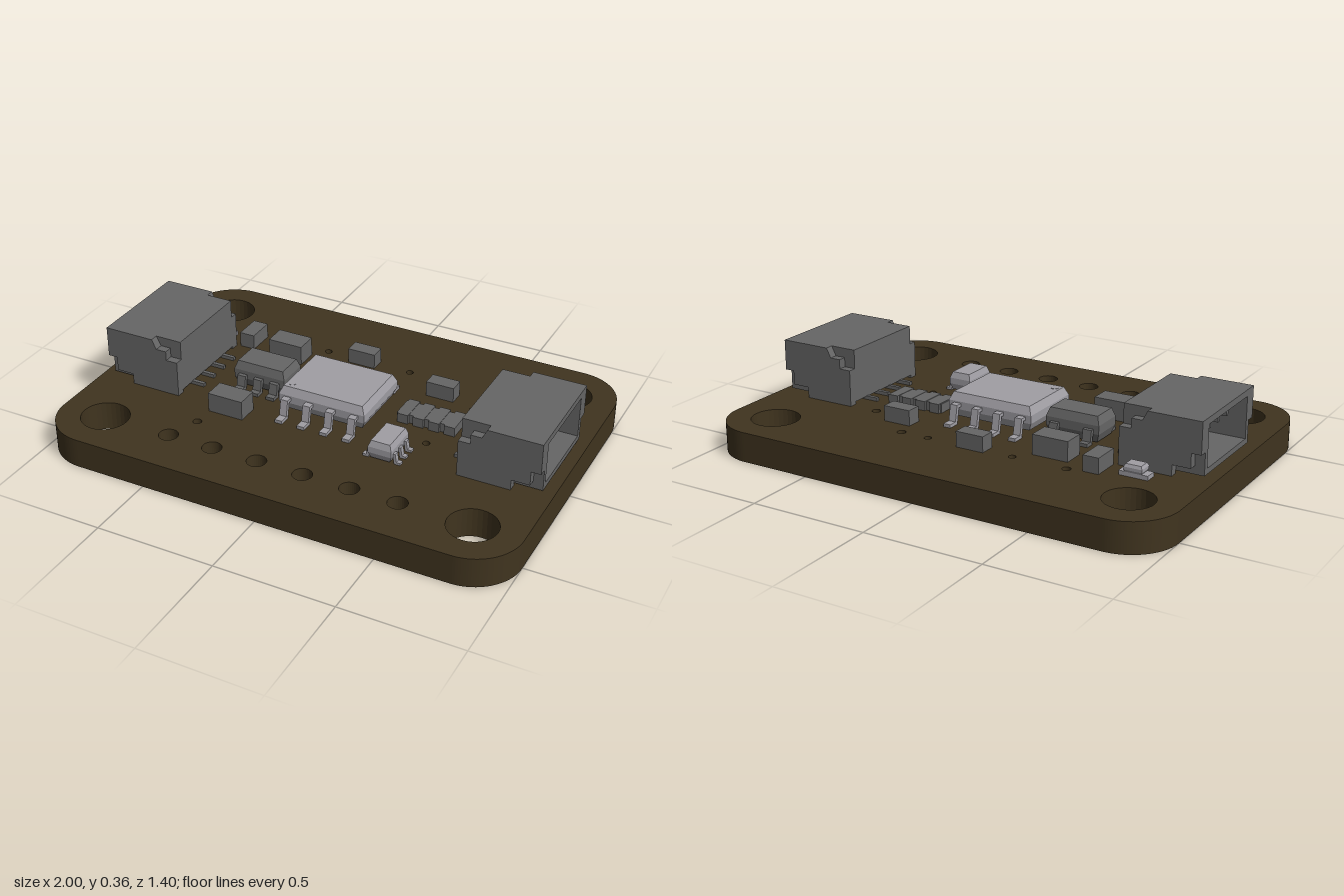
import * as THREE from 'three';

const mat = (color) => new THREE.MeshStandardMaterial({ color, flatShading: true });
const boardMat = mat(0x40341f), dark = mat(0x666666), light = mat(0xa09ea4);
const TOP = 0.125; // upper face of the board

function add(parent, name, geometry, material) {
  const mesh = new THREE.Mesh(geometry, material);
  mesh.name = name;
  parent.add(mesh);
  return mesh;
}

// Box given by its limits on each axis
function block(parent, name, material, x0, x1, y0, y1, z0, z1) {
  const g = new THREE.BoxGeometry(x1 - x0, y1 - y0, z1 - z0);
  g.translate((x0 + x1) / 2, (y0 + y1) / 2, (z0 + z1) / 2);
  return add(parent, name, g, material);
}

function polygon(points) {
  return new THREE.Shape(points.map(([x, y]) => new THREE.Vector2(x, y)));
}

function extrude(shape, depth, curveSegments = 12) {
  return new THREE.ExtrudeGeometry(shape, { depth, bevelEnabled: false, curveSegments });
}

function rectPath(x0, x1, y0, y1) {
  return polygon([[x0, y0], [x1, y0], [x1, y1], [x0, y1]]);
}

// Moulded body: vertical belt in the middle, drawn in at top and bottom
function mouldedBody(parent, name, material, x0, x1, y0, y1, z0, z1, inset) {
  const w = x1 - x0, d = z1 - z0, h = y1 - y0;
  const g = new THREE.BoxGeometry(w, h, d, 1, 3, 1);
  const p = g.attributes.position;
  for (let i = 0; i < p.count; i++) {
    if (Math.abs(p.getY(i)) > h * 0.4) {
      p.setX(i, p.getX(i) * (1 - 2 * inset / w));
      p.setZ(i, p.getZ(i) * (1 - 2 * inset / d));
    }
  }
  g.translate((x0 + x1) / 2, (y0 + y1) / 2, (z0 + z1) / 2);
  return add(parent, name, g, material);
}

// Gull-wing lead running out along +x of its own frame, then turned by angle
function lead(parent, material, x, z, angle, reach, height, width, t = 0.014) {
  const a = reach * 0.4, b = reach * 0.55;
  const shape = polygon([
    [-0.02, height], [a, height], [b, t], [reach, t], [reach, 0],
    [b - t, 0], [a - t, height - t], [-0.02, height - t],
  ]);
  const g = extrude(shape, width);
  g.translate(0, 0, -width / 2);
  const m = add(parent, 'lead', g, material);
  m.position.set(x, TOP, z);
  m.rotation.y = angle;
}

function makeBoard(root) {
  const s = new THREE.Shape();
  const w = 1, h = 0.7, r = 0.2;
  s.moveTo(-w + r, -h);
  s.lineTo(w - r, -h);
  s.absarc(w - r, -h + r, r, -Math.PI / 2, 0);
  s.absarc(w - r, h - r, r, 0, Math.PI / 2);
  s.absarc(-w + r, h - r, r, Math.PI / 2, Math.PI);
  s.absarc(-w + r, -h + r, r, Math.PI, Math.PI * 1.5);
  // Hole list: x, z, radius
  const holes = [
    [-0.475, -0.37, 0.018], [-0.24, -0.37, 0.015], [0.145, -0.37, 0.015],
    [0.27, -0.37, 0.018], [0.5, -0.222, 0.018], [-0.495, -0.14, 0.018],
    [0.325, 0.105, 0.015], [0.43, 0.09, 0.015], [-0.45, 0.365, 0.018],
  ];
  for (const x of [-0.8, 0.8]) for (const z of [-0.5, 0.5]) holes.push([x, z, 0.1]);
  for (let i = 0; i < 6; i++) holes.push([-0.5 + i * 0.2, 0.5, 0.04]);
  for (const [x, z, rad] of holes) {
    const p = new THREE.Path();
    p.absarc(x, -z, rad, 0, Math.PI * 2, true);
    s.holes.push(p);
  }
  const g = extrude(s, TOP, 16);
  g.rotateX(-Math.PI / 2);
  add(root, 'circuitBoard', g, boardMat);
}

// Side-entry socket whose mouth faces +x
function makeConnector(name) {
  const c = new THREE.Group();
  c.name = name;
  // Shell: tube along x
  const ring = rectPath(-0.2, 0.2, 0.137, 0.36);
  ring.holes.push(rectPath(-0.177, 0.177, 0.16, 0.333));
  const shell = extrude(ring, 0.255);
  shell.rotateY(Math.PI / 2);
  shell.translate(0.7, 0, 0);
  add(c, 'socketShell', shell, dark);
  block(c, 'socketBack', dark, 0.62, 0.7, 0.137, 0.36, -0.2, 0.2);
  // Stepped side cheeks
  const cheek = polygon([
    [0.62, TOP], [0.84, TOP], [0.84, 0.17], [0.915, 0.17], [0.915, 0.23], [0.955, 0.23],
    [0.955, 0.36], [0.735, 0.36], [0.715, 0.32], [0.67, 0.32], [0.67, 0.28], [0.62, 0.28],
  ]);
  for (const z of [-0.235, 0.2]) {
    add(c, 'socketCheek', extrude(cheek, 0.035), dark).position.z = z;
  }
  // Contacts inside and solder tails behind
  for (let i = 0; i < 4; i++) {
    const z = -0.12 + i * 0.08;
    block(c, 'contactPin', dark, 0.69, 0.9, 0.262, 0.295, z - 0.008, z + 0.008);
    block(c, 'solderTail', dark, 0.565, 0.64, TOP, 0.14, z - 0.008, z + 0.008);
  }
  return c;
}

export function createModel() {
  const root = new THREE.Group();
  root.name = 'sensorBoard';
  makeBoard(root);

  root.add(makeConnector('leftConnector'));
  const right = makeConnector('rightConnector');
  right.rotation.y = Math.PI;
  root.add(right);

  // Main eight-lead chip
  const main = new THREE.Group();
  main.name = 'mainChip';
  root.add(main);
  mouldedBody(main, 'mainChipBody', light, -0.195, 0.187, 0.145, 0.245, -0.155, 0.15, 0.015);
  for (let i = 0; i < 4; i++) {
    const x = -0.155 + i * 0.1;
    lead(main, light, x, 0.145, -Math.PI / 2, 0.085, 0.08, 0.032);
    lead(main, light, x, -0.15, Math.PI / 2, 0.085, 0.08, 0.032);
  }
  const dot = add(main, 'pinOneMark', new THREE.CylinderGeometry(0.016, 0.016, 0.002, 20), light);
  dot.position.set(-0.155, 0.2455, 0.105);

  // Five-lead regulator
  const reg = new THREE.Group();
  reg.name = 'regulator';
  root.add(reg);
  mouldedBody(reg, 'regulatorBody', dark, -0.462, -0.228, 0.13, 0.237, -0.093, 0.047, 0.012);
  for (const x of [-0.42, -0.345, -0.27]) lead(reg, dark, x, 0.042, -Math.PI / 2, 0.054, 0.06, 0.038);
  for (const x of [-0.42, -0.27]) lead(reg, dark, x, -0.088, Math.PI / 2, 0.054, 0.06, 0.038);

  // Small six-lead transistor pair
  const small = new THREE.Group();
  small.name = 'smallChip';
  root.add(small);
  mouldedBody(small, 'smallChipBody', light, 0.276, 0.375, 0.135, 0.212, 0.14, 0.297, 0.009);
  for (const z of [0.168, 0.218, 0.268]) {
    lead(small, light, 0.37, z, 0, 0.036, 0.045, 0.022, 0.01);
    lead(small, light, 0.281, z, Math.PI, 0.036, 0.045, 0.022, 0.01);
  }

  // Resistor array with scalloped long sides
  const array = new THREE.Group();
  array.name = 'resistorArray';
  root.add(array);
  block(array, 'arrayCore', dark, 0.255, 0.487, TOP, 0.163, -0.108, -0.012);
  for (let i = 0; i < 4; i++) {
    const x = 0.284 + i * 0.0677;
    block(array, 'arrayTerminal', dark, x - 0.023, x + 0.023, TOP, 0.165, -0.12, 0);
  }

  // Capacitors and resistors: x, z, width, depth, height
  for (const [x, z, w, d, h] of [
    [-0.37, -0.265, 0.155, 0.095, 0.083], [-0.373, 0.23, 0.155, 0.092, 0.083],
    [-0.57, -0.3, 0.067, 0.12, 0.065], [-0.063, -0.362, 0.122, 0.066, 0.065],
    [0.342, -0.267, 0.122, 0.066, 0.065],
  ]) {
    block(root, 'chipComponent', dark, x - w / 2, x + w / 2, TOP, TOP + h, z - d / 2, z + d / 2);
  }

  // Indicator lamp
  const led = new THREE.Group();
  led.name = 'indicatorLamp';
  root.add(led);
  block(led, 'lampBase', light, -0.785, -0.665, TOP, 0.143, -0.32, -0.27);
  mouldedBody(led, 'lampLens', light, -0.763, -0.687, 0.14, 0.175, -0.325, -0.265, 0.006);

  return root;
}
